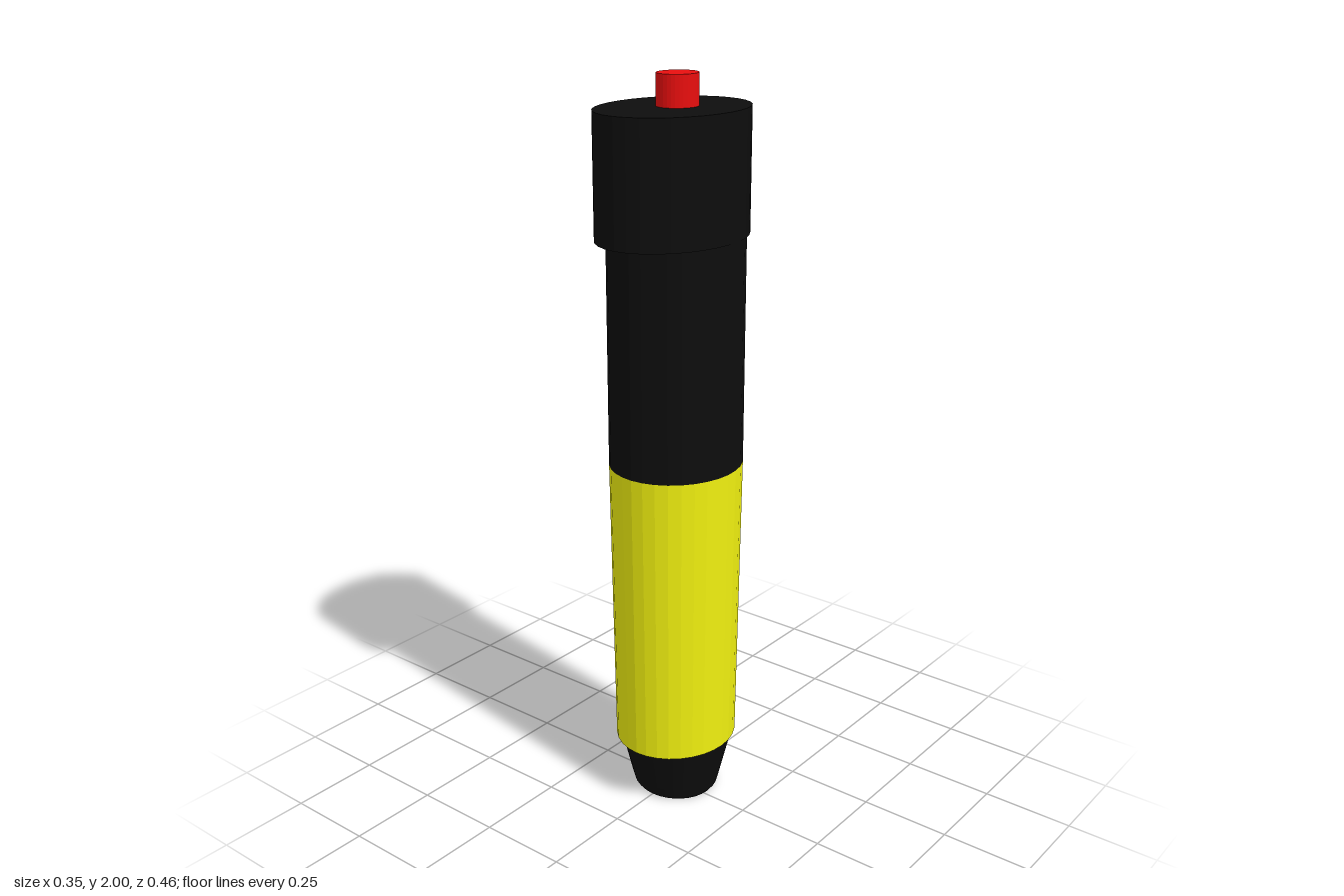
import * as THREE from 'three';

const SIDES = 32;
const BLACK = 0x0d0d0d, YELLOW = 0xf0f010, RED = 0xe80e0e;

// Closed oval solid: profile of [x radius, y] from bottom to top,
// squashed to depth ratio and shifted to centre z.
function ovalPart(name, color, profile, ratio, z) {
  const first = profile[0], last = profile[profile.length - 1];
  const points = [[0, first[1]], ...profile, [0, last[1]]]
    .map(([r, y]) => new THREE.Vector2(r, y));
  const geometry = new THREE.LatheGeometry(points, SIDES);
  geometry.scale(1, 1, ratio);
  geometry.translate(0, 0, z);
  const material = new THREE.MeshStandardMaterial({ color, flatShading: true });
  const mesh = new THREE.Mesh(geometry, material);
  mesh.name = name;
  return mesh;
}

export function createModel() {
  const group = new THREE.Group();
  group.name = 'handle';
  group.add(
    // tapered foot with a small bevel at the bottom
    ovalPart('tip', BLACK,
      [[0.113, 0], [0.121, 0.01], [0.128, 0.035], [0.161, 0.17]], 0.94, -0.013),
    // slightly tapered lower grip
    ovalPart('lowerGrip', YELLOW, [[0.163, 0.17], [0.173, 0.99]], 1.09, -0.014),
    // straight upper grip
    ovalPart('upperGrip', BLACK, [[0.173, 0.99], [0.173, 1.6]], 1.09, -0.014),
    // deeper oval head
    ovalPart('head', BLACK, [[0.175, 1.6], [0.175, 1.92]], 1.303, 0),
    // push button on top
    ovalPart('button', RED, [[0.052, 1.9], [0.052, 2]], 1.08, -0.018),
  );
  return group;
}
